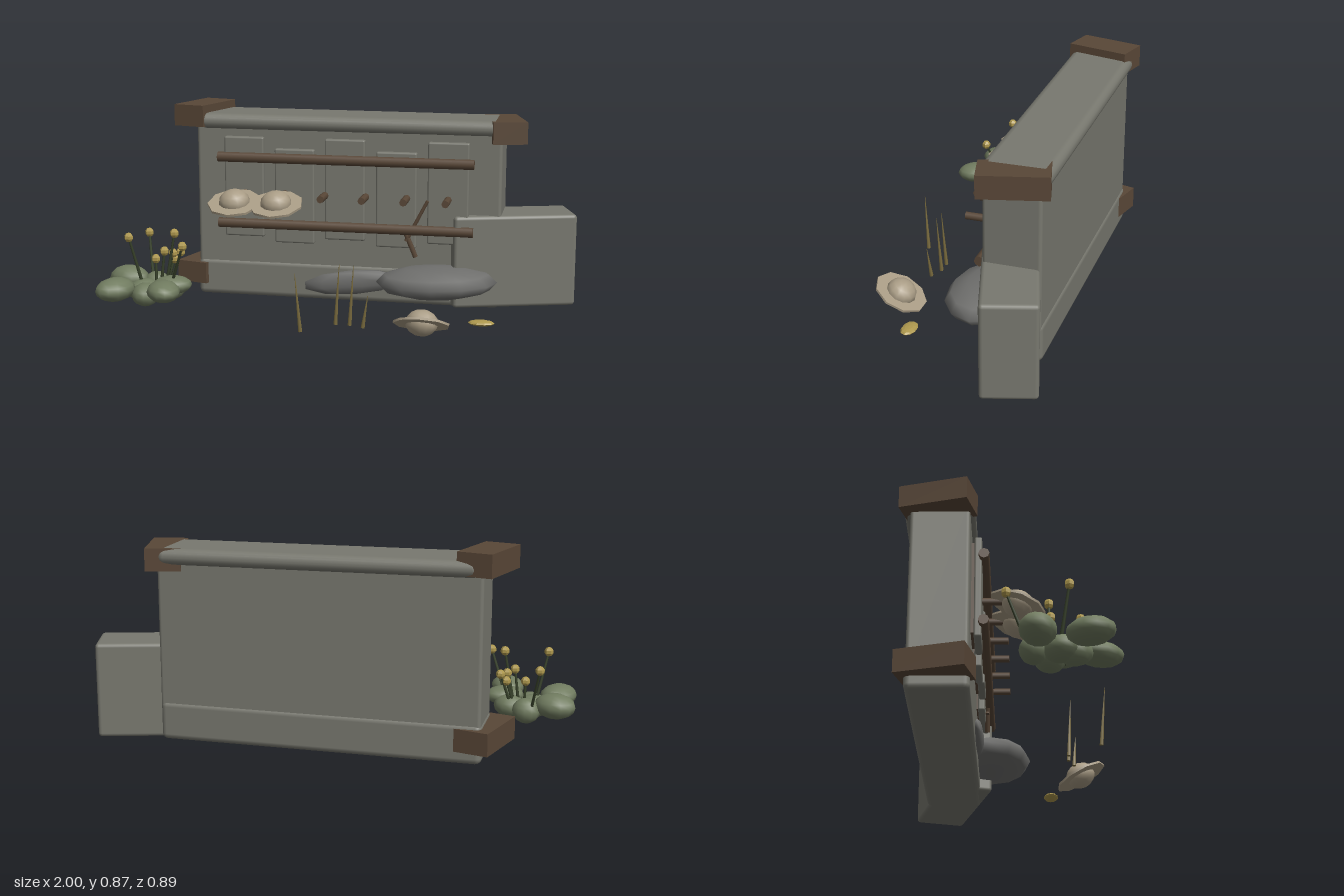
import * as THREE from 'three';
import { RoundedBoxGeometry } from 'three/addons/geometries/RoundedBoxGeometry.js';

const mat = (name, color, flatShading = false) => {
  const m = new THREE.MeshStandardMaterial({ color, flatShading });
  m.name = name;
  return m;
};

export function createModel() {
  const stone = mat('stone', 0x78786f);
  const rock = mat('rock', 0x70706e);
  const wood = mat('wood', 0x594737);
  const clay = mat('straw hat', 0xa99c85);
  const leaf = mat('leaf', 0x717c60);
  const stem = mat('stem', 0x37412a);
  const flower = mat('flower', 0xae984e, true);
  const straw = mat('dry grass', 0x7d6e40);

  const model = new THREE.Group();
  const add = (name, geo, material, pos = [0, 0, 0], rot = [0, 0, 0], parent = model) => {
    const mesh = new THREE.Mesh(geo, material);
    mesh.name = name;
    mesh.position.set(...pos);
    mesh.rotation.set(...rot);
    parent.add(mesh);
    return mesh;
  };
  const block = (name, size, pos, rot, r = 0.015) =>
    add(name, new RoundedBoxGeometry(...size, 2, r), stone, pos, rot);
  const ellipsoid = (name, material, pos, radii, rot, w = 12, h = 8, parent = model) => {
    const geo = new THREE.SphereGeometry(1, w, h);
    geo.scale(...radii);
    return add(name, geo, material, pos, rot, parent);
  };
  // Round bar between two points, thinner at the far end if asked
  const bar = (name, material, from, to, r0, r1 = r0, sides = 8) => {
    const a = new THREE.Vector3(...from), b = new THREE.Vector3(...to);
    const dir = b.clone().sub(a);
    const mesh = add(name, new THREE.CylinderGeometry(r1, r0, dir.length(), sides), material);
    mesh.position.copy(a).add(b).multiplyScalar(0.5);
    mesh.quaternion.setFromUnitVectors(new THREE.Vector3(0, 1, 0), dir.normalize());
    return mesh;
  };

  // Wall, foot, coping and the low turned end block
  block('wall', [1.355, 0.72, 0.238], [0.007, 0.45, -0.262]);
  block('wallFoot', [1.36, 0.168, 0.25], [0.005, 0.099, -0.262], [0, 0, 0], 0.025);
  block('coping', [1.34, 0.07, 0.285], [0.01, 0.803, -0.268], [0, 0.005, -0.004], 0.034);
  block('endBlock', [0.54, 0.405, 0.226], [0.716, 0.225, -0.268], [0, 0.297, 0], 0.016);

  // Upright slabs on the front, each on a timber batten
  const battenGeo = new THREE.BoxGeometry(0.15, 0.4, 0.02);
  for (let i = 0; i < 5; i++) {
    const low = i % 2, x = -0.445 + i * 0.226;
    block('slab', [0.178, low ? 0.42 : 0.445, 0.03],
      [x, low ? 0.485 : 0.522, low ? -0.122 : -0.116], [0, 0, 0], 0.008);
    add('batten', battenGeo, wood, [x, low ? 0.485 : 0.522, -0.138]);
  }

  // Timber corner blocks
  const cornerGeo = new THREE.BoxGeometry(0.148, 0.095, 0.28);
  for (const [x, y, turn] of [[-0.67, 0.827, -0.255], [0.682, 0.787, 0.255], [-0.67, 0.115, -0.255]])
    add('cornerTimber', cornerGeo, wood, [x, y, -0.27], [0, turn, 0]);

  // Rails, pegs and a forked stick
  for (const y of [0.655, 0.36])
    bar('rail', wood, [-0.56, y, -0.092], [0.57, y, -0.092], 0.022);
  for (let i = 0; i < 6; i++) {
    const x = -0.44 + i * 0.18;
    bar('peg', wood, [x, 0.497, -0.105], [x, 0.497, 0], 0.016);
  }
  bar('stick', wood, [0.28, 0.31, -0.1], [0.372, 0.49, -0.1], 0.01, 0.008, 6);
  bar('stick', wood, [0.28, 0.34, -0.1], [0.322, 0.24, -0.1], 0.011, 0.011, 6);

  // Broad-brimmed hats
  const brimGeo = new THREE.CylinderGeometry(0.117, 0.117, 0.01, 9);
  for (const [x, y, z, tilt] of [[-0.45, 0.477, 0.04, 0.32], [-0.265, 0.477, 0.04, 0.32], [0.41, 0.062, 0.315, -0.48]]) {
    const hat = new THREE.Group();
    hat.name = 'hat';
    hat.position.set(x, y, z);
    hat.rotation.x = tilt;
    add('brim', brimGeo, clay, [0, 0, 0], [0, 0, 0], hat);
    ellipsoid('crown', clay, [0, 0.005, 0], [0.068, 0.055, 0.066], [0, 0, 0], 12, 8, hat);
    model.add(hat);
  }

  // Boulder, and a flat rock showing through the foot
  ellipsoid('boulder', rock, [0.415, 0.137, -0.085], [0.265, 0.07, 0.175], [0, 0, 0.04], 12, 6);
  ellipsoid('buriedRock', rock, [0.04, 0.105, -0.13], [0.23, 0.055, 0.025], [0, 0, 0.12], 7, 5);

  // Leafy clump
  const leaves = [
    [-0.91, 0.14, 0.115, 0.09, 0.055, 0.07, -0.2], [-0.905, 0.135, 0.305, 0.075, 0.05, 0.095, -0.4],
    [-0.675, 0.15, 0.35, 0.07, 0.045, 0.095, 0.4], [-0.68, 0.145, 0.22, 0.085, 0.04, 0.065, 0.4],
    [-0.79, 0.115, 0.1, 0.06, 0.055, 0.055, 0], [-0.81, 0.11, 0.2, 0.075, 0.05, 0.065, 0.7],
    [-0.71, 0.115, 0.16, 0.07, 0.05, 0.06, -0.4], [-0.79, 0.105, 0.25, 0.06, 0.05, 0.07, 0.2],
  ];
  for (const [x, y, z, a, b, c, turn] of leaves)
    ellipsoid('leaf', leaf, [x, y, z], [a, b, c], [0, turn, 0]);

  // Flowers on stems that rise out of the clump
  const blooms = [
    [-0.865, 0.347, 0.233], [-0.61, 0.33, 0.283], [-0.685, 0.357, 0.16], [-0.855, 0.32, 0],
    [-0.73, 0.278, 0.165], [-0.675, 0.265, 0.11], [-0.7, 0.265, 0.14], [-0.78, 0.235, 0.135],
    [-0.7, 0.235, 0.12],
  ];
  for (const [x, y, z] of blooms) {
    bar('stem', stem, [x * 0.45 - 0.77 * 0.55, 0.1, z * 0.45 + 0.16 * 0.55], [x, y, z], 0.008, 0.005, 6);
    ellipsoid('bloom', flower, [x, y, z], [0.02, 0.021, 0.02], [0, 0, 0], 6, 5);
  }

  // Dry grass blades and a fallen seed pod
  const blades = [
    [-0.08, 0.38, -0.098, 0.27, 0.4], [0.04, 0.25, 0.058, 0.28, 0.262],
    [0.1, 0.25, 0.118, 0.28, 0.262], [0.16, 0.275, 0.182, 0.16, 0.285],
  ];
  for (const [x0, z0, x1, y1, z1] of blades)
    bar('grassBlade', straw, [x0, 0.02, z0], [x1, y1, z1], 0.009, 0.001, 5);
  ellipsoid('seedPod', flower, [0.64, 0.043, 0.185], [0.055, 0.012, 0.033], [0, 0, 0], 10, 6);

  return model;
}
